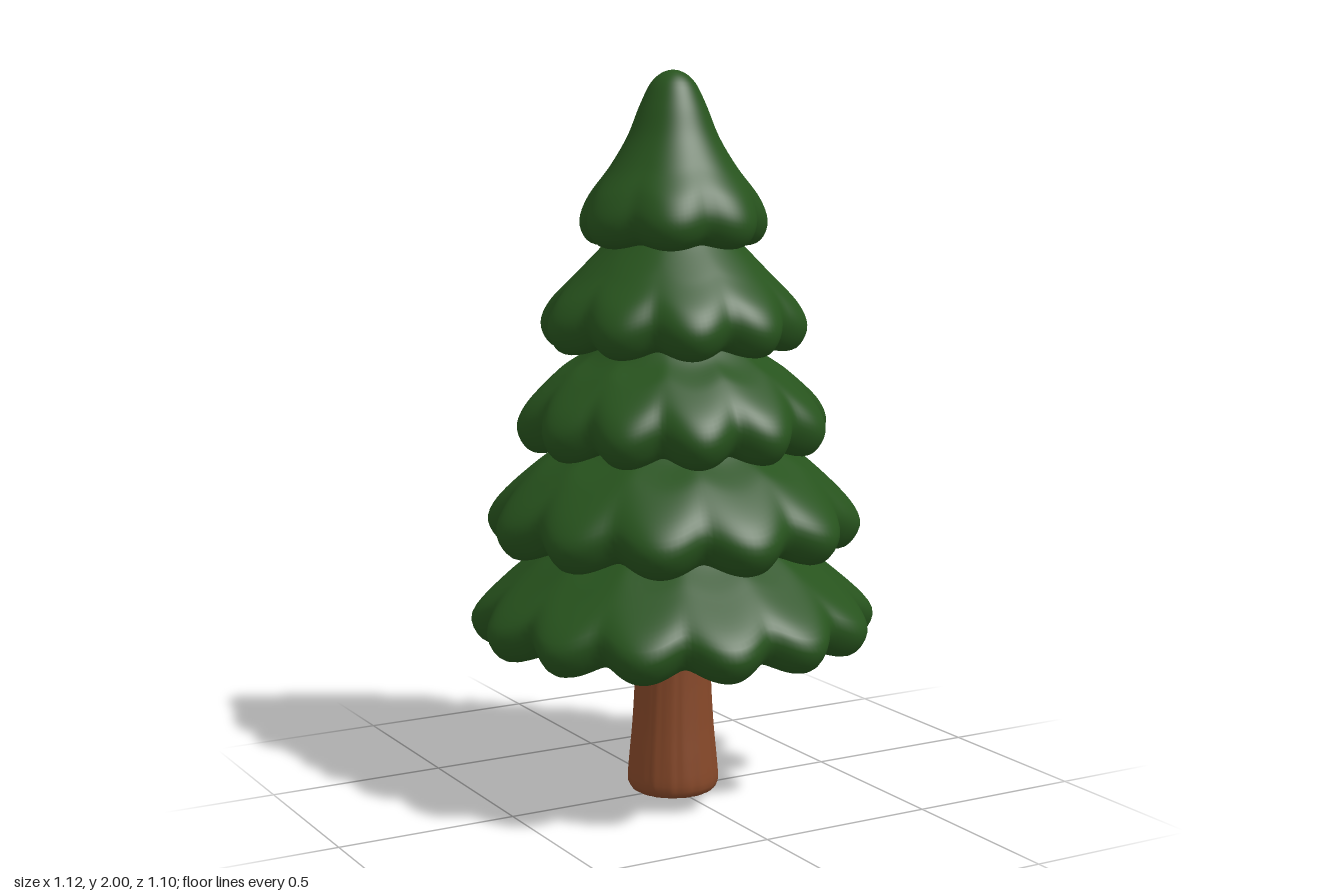
import * as THREE from 'three';
import { mergeVertices } from 'three/addons/utils/BufferGeometryUtils.js';

const green = new THREE.MeshStandardMaterial({ color: 0x27531d });
green.name = 'needle green';
const brown = new THREE.MeshStandardMaterial({ color: 0x864829 });
brown.name = 'bark brown';

// Smooth lathe whose vertices are then moved by a rule(angle, radius, vector)
function shapedLathe(points, samples, segments, rule) {
  const curve = new THREE.SplineCurve(points.map(([r, y]) => new THREE.Vector2(r, y)));
  const profile = curve.getSpacedPoints(samples).map((p) => new THREE.Vector2(Math.max(p.x, 0), p.y));
  let geo = new THREE.LatheGeometry(profile, segments);
  geo.deleteAttribute('uv');
  geo.deleteAttribute('normal');
  geo = mergeVertices(geo, 1e-5);
  const pos = geo.attributes.position;
  const v = new THREE.Vector3();
  for (let i = 0; i < pos.count; i++) {
    v.fromBufferAttribute(pos, i);
    rule(Math.atan2(-v.z, v.x), Math.hypot(v.x, v.z), v);
    pos.setXYZ(i, v.x, v.y, v.z);
  }
  geo.computeVertexNormals();
  return geo;
}

// Tiers: rim radius, lobe count, lobe depth, angle of one valley in degrees, profile [radius, height]
const tiers = [
  { name: 'bottomTier', rim: 0.56, lobes: 14, depth: 0.046, valley: 90, profile: [
    [0.085, 0.5], [0.112, 0.525], [0.16, 0.545], [0.25, 0.53], [0.38, 0.485], [0.46, 0.437], [0.525, 0.44],
    [0.56, 0.498], [0.53, 0.555], [0.425, 0.642], [0.33, 0.715], [0.25, 0.79], [0.16, 0.86]] },
  { name: 'lowerTier', rim: 0.515, lobes: 12, depth: 0.046, valley: 101, profile: [
    [0.1, 0.78], [0.22, 0.76], [0.34, 0.738], [0.42, 0.704], [0.478, 0.706],
    [0.516, 0.765], [0.49, 0.828], [0.403, 0.91], [0.3, 0.98], [0.23, 1.04], [0.14, 1.12]] },
  { name: 'middleTier', rim: 0.43, lobes: 12, depth: 0.042, valley: 86, profile: [
    [0.1, 1.05], [0.2, 1.035], [0.28, 1.008], [0.34, 0.973], [0.398, 0.978],
    [0.431, 1.035], [0.408, 1.098], [0.333, 1.17], [0.25, 1.23], [0.19, 1.29], [0.11, 1.37]] },
  { name: 'upperTier', rim: 0.365, lobes: 10, depth: 0.037, valley: 52, profile: [
    [0.08, 1.33], [0.16, 1.305], [0.23, 1.278], [0.28, 1.248], [0.338, 1.255],
    [0.367, 1.31], [0.343, 1.373], [0.268, 1.45], [0.195, 1.525], [0.15, 1.575], [0.09, 1.64]] },
  { name: 'topTier', rim: 0.26, lobes: 7, depth: 0.026, valley: 110, profile: [
    [0, 1.6], [0.08, 1.585], [0.14, 1.56], [0.185, 1.528], [0.238, 1.538],
    [0.261, 1.59], [0.237, 1.657], [0.175, 1.738], [0.125, 1.82], [0.09, 1.905], [0.06, 1.965], [0.028, 1.993], [0, 2]] },
];

function tierGeometry({ rim, lobes, depth, valley, profile }) {
  const start = THREE.MathUtils.degToRad(valley);
  return shapedLathe(profile, 56, lobes * 16, (angle, radius, v) => {
    // Broad lobes with softly rounded valleys, fading out towards the trunk
    const wave = Math.sin((lobes * (angle - start)) / 2);
    const notch = 1 - (Math.sqrt(wave * wave + 0.09) - 0.3) / 0.744;
    const fade = THREE.MathUtils.smoothstep(radius / rim, 0.35, 1);
    const pull = 1 - (depth / rim) * notch * fade;
    v.x *= pull;
    v.z *= pull;
    v.y += 0.75 * depth * notch * fade;
  });
}

// Flared trunk with shallow vertical bark ripples
function trunkGeometry() {
  const profile = [[0, 0], [0.05, 0.001], [0.1, 0.003], [0.12, 0.014], [0.126, 0.04], [0.122, 0.1],
    [0.113, 0.2], [0.106, 0.32], [0.103, 0.45], [0.1, 0.62]];
  return shapedLathe(profile, 48, 96, (angle, radius, v) => {
    const ripple = Math.sin(angle * 17 + Math.sin(v.y * 9) * 0.8) + 0.6 * Math.sin(angle * 29 - v.y * 4);
    const scale = 1 + 0.008 * ripple * THREE.MathUtils.smoothstep(radius, 0.07, 0.1);
    v.x *= scale;
    v.z *= scale;
  });
}

export function createModel() {
  const tree = new THREE.Group();
  tree.name = 'pineTree';

  const trunk = new THREE.Mesh(trunkGeometry(), brown);
  trunk.name = 'trunk';
  tree.add(trunk);

  for (const tier of tiers) {
    const mesh = new THREE.Mesh(tierGeometry(tier), green);
    mesh.name = tier.name;
    tree.add(mesh);
  }
  return tree;
}
